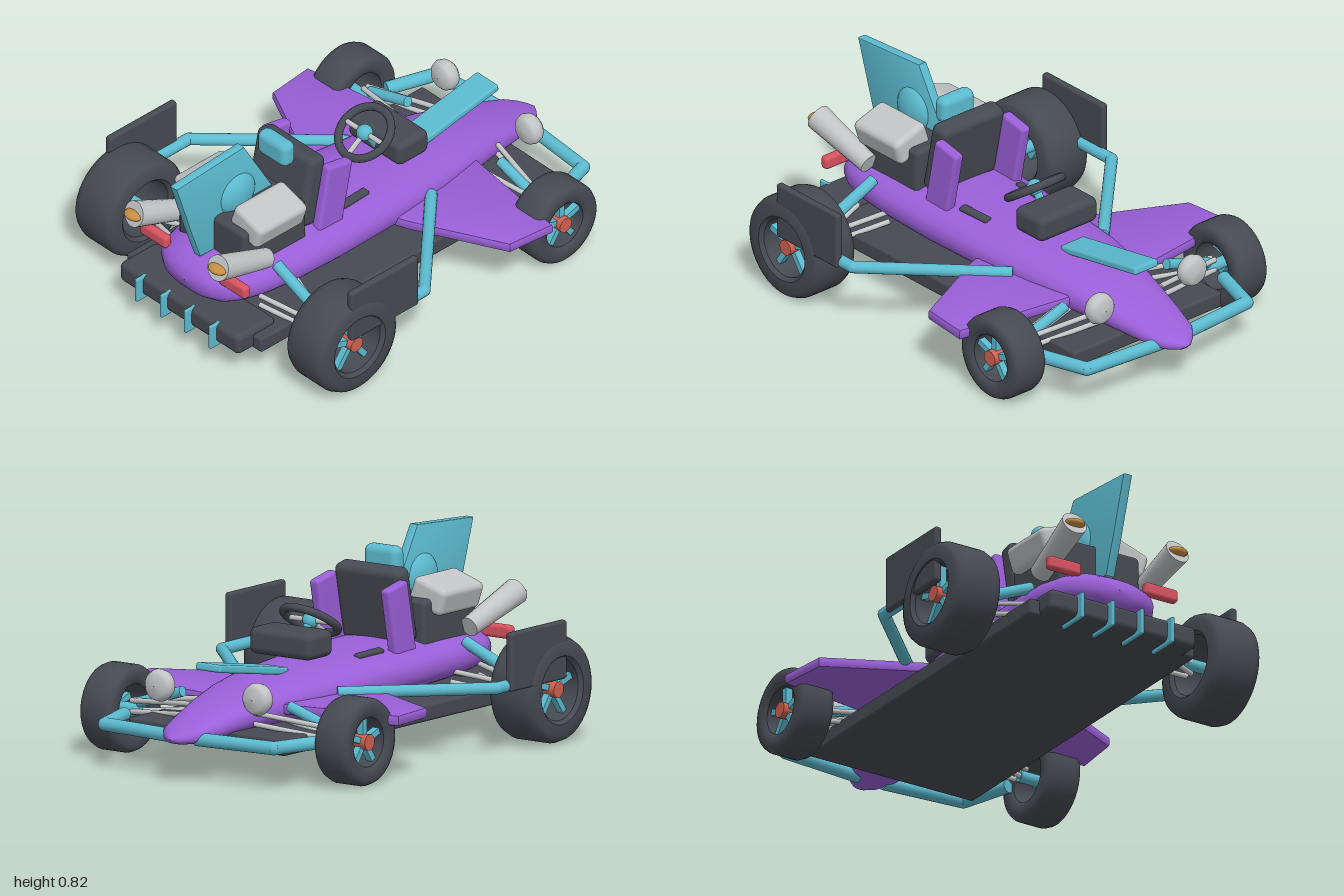
import * as THREE from 'three';
import { toCreasedNormals } from 'three/addons/utils/BufferGeometryUtils.js';
import { RoundedBoxGeometry } from 'three/addons/geometries/RoundedBoxGeometry.js';

const mat = (name, color) => Object.assign(new THREE.MeshStandardMaterial({ color }), { name });
const V = (x, y, z) => new THREE.Vector3(x, y, z);

export function createModel() {
  const purple = mat('purple paint', 0x9a5fd8), cyan = mat('cyan paint', 0x5cbbd0);
  const dark = mat('dark rubber', 0x464a52), silver = mat('silver', 0xc2c4c6);
  const red = mat('lamp red', 0xd95360), hubRed = mat('hub red', 0xd0604f), orange = mat('exhaust orange', 0xc88f42);
  const car = new THREE.Group();
  car.name = 'racingCar';

  const add = (name, geo, material, pos = [0, 0, 0], rot = [0, 0, 0], parent = car) => {
    const m = new THREE.Mesh(geo, material);
    m.name = name;
    m.position.set(...pos);
    m.rotation.set(...rot);
    parent.add(m);
    return m;
  };
  const box = (w, h, d, r = 0.02) => new RoundedBoxGeometry(w, h, d, 3, Math.min(r, w / 2.01, h / 2.01, d / 2.01));
  // Round bar from a to b
  const bar = (name, a, b, ra, material, rb = ra, parent = car) => {
    const dir = b.clone().sub(a);
    const m = add(name, new THREE.CylinderGeometry(rb, ra, dir.length(), 16), material, [0, 0, 0], [0, 0, 0], parent);
    m.position.copy(a).add(b).multiplyScalar(0.5);
    m.quaternion.setFromUnitVectors(V(0, 1, 0), dir.normalize());
    return m;
  };
  // Bent pipe with rounded joints
  const pipe = (name, pts, r, material) => {
    const g = new THREE.Group();
    g.name = name;
    pts.forEach((p, i) => {
      if (i) bar(name + 'Segment', pts[i - 1], p, r, material, r, g);
      if (i && i < pts.length - 1) add(name + 'Joint', new THREE.SphereGeometry(r, 16, 10), material, p.toArray(), [0, 0, 0], g);
    });
    car.add(g);
  };
  // Flat outline extruded, with a small bevel, centred on its thickness
  const slab = (pts, t, bevel = 0.006) => {
    const g = new THREE.ExtrudeGeometry(new THREE.Shape(pts.map(p => new THREE.Vector2(...p))), {
      depth: t - 2 * bevel, bevelThickness: bevel, bevelSize: bevel, bevelOffset: -bevel, bevelSegments: 2 });
    return g.translate(0, 0, bevel - t / 2);
  };

  // Body: rounded cross-sections [z, half width, top, bottom]
  const stations = [
    [-1, 0.001, 0.191, 0.189], [-0.98, 0.035, 0.206, 0.172], [-0.95, 0.07, 0.222, 0.165], [-0.91, 0.1, 0.238, 0.163],
    [-0.8, 0.13, 0.275, 0.165], [-0.65, 0.162, 0.32, 0.17], [-0.5, 0.198, 0.35, 0.175], [-0.3, 0.233, 0.375, 0.18],
    [0, 0.261, 0.392, 0.185], [0.3, 0.275, 0.404, 0.19], [0.55, 0.274, 0.408, 0.2], [0.7, 0.262, 0.408, 0.21],
    [0.8, 0.235, 0.4, 0.22], [0.86, 0.2, 0.388, 0.232], [0.9, 0.14, 0.365, 0.255], [0.915, 0.08, 0.34, 0.28], [0.92, 0.001, 0.311, 0.309]];
  const N = 40, verts = [], idx = [];
  stations.forEach(([z, w, t, b], i) => {
    for (let j = 0; j < N; j++) {
      const a = j / N * Math.PI * 2, c = Math.cos(a), s = Math.sin(a);
      const f = v => Math.sign(v) * Math.abs(v) ** 0.85;
      verts.push(w * f(c), (t + b) / 2 + (t - b) / 2 * f(s), z);
      if (i < stations.length - 1) {
        const p = i * N + j, q = i * N + (j + 1) % N;
        idx.push(p, q, p + N, q, q + N, p + N);
      }
    }
  });
  const bodyGeo = new THREE.BufferGeometry();
  bodyGeo.setAttribute('position', new THREE.Float32BufferAttribute(verts, 3));
  bodyGeo.setIndex(idx);
  bodyGeo.computeVertexNormals();
  add('body', bodyGeo, purple);

  // Floor, rear bumper and diffuser fins
  add('floor', box(0.79, 0.07, 1.625, 0.012), dark, [0, 0.165, 0.055]);
  add('rearBumper', box(0.7, 0.095, 0.21, 0.025), dark, [0, 0.178, 0.847]);
  for (const x of [-0.215, -0.07, 0.07, 0.215]) add('diffuserFin', box(0.016, 0.11, 0.15, 0.005), cyan, [x, 0.17, 0.908]);

  // Tail fin with round pod
  const fin = slab([[0.98, 0.8], [0.61, 0.825], [0.41, 0.48], [0.41, 0.4], [0.85, 0.4], [0.9, 0.545]], 0.042);
  add('tailFin', toCreasedNormals(fin, 0.6), cyan, [0, 0, 0], [0, -Math.PI / 2, 0]);
  add('finPod', new THREE.SphereGeometry(1, 28, 18), cyan, [0, 0.61, 0.645]).scale.set(0.058, 0.1, 0.1);

  // Hood plank
  add('hoodPlank', box(0.126, 0.032, 0.46, 0.01), cyan, [0, 0.408, -0.522], [0.17, 0, 0]);

  // Cockpit
  add('dashboard', box(0.31, 0.11, 0.17, 0.03), dark, [0, 0.47, -0.2]);
  const steering = new THREE.Group();
  steering.name = 'steeringWheel';
  steering.position.set(0, 0.537, -0.07);
  steering.rotation.x = -0.98;
  car.add(steering);
  add('steeringRim', new THREE.TorusGeometry(0.116, 0.017, 12, 36), dark, [0, 0, 0], [0, 0, 0], steering);
  add('steeringHub', new THREE.SphereGeometry(0.034, 20, 14), cyan, [0, 0, 0], [0, 0, 0], steering);
  for (const a of [0, Math.PI, -Math.PI / 2])
    bar('steeringSpoke', V(0, 0, 0), V(Math.cos(a) * 0.115, Math.sin(a) * 0.115, 0), 0.011, silver, 0.011, steering);
  bar('steeringColumn', V(0, 0.537, -0.075), V(0, 0.45, -0.13), 0.018, cyan);
  add('seatBack', box(0.33, 0.32, 0.09, 0.03), dark, [0, 0.545, 0.36], [-0.2, 0, 0]);
  add('headrest', box(0.17, 0.112, 0.07, 0.03), cyan, [0, 0.715, 0.415]);
  add('engineBlock', box(0.385, 0.21, 0.35, 0.02), dark, [0, 0.455, 0.6]);

  // Wheel: tyre ring, five spokes and hub, axle along x
  const wheel = (name, x, z, R, inner, w) => {
    const s = Math.sign(x), g = new THREE.Group(), h = w / 2;
    g.name = name;
    g.position.set(x, R + 0.009, z);
    car.add(g);
    const profile = [[inner, -h * 0.85], [inner + 0.015, -h], [R * 0.86, -h], [R * 0.95, -h * 0.9], [R, -h * 0.65],
      [R, h * 0.65], [R * 0.95, h * 0.9], [R * 0.86, h], [inner + 0.015, h], [inner, h * 0.85], [inner, -h * 0.85]];
    const tyre = new THREE.LatheGeometry(profile.map(p => new THREE.Vector2(...p)), 40);
    add('tyre', toCreasedNormals(tyre, 0.7), dark, [0, 0, 0], [0, 0, Math.PI / 2], g);
    for (let i = 0; i < 5; i++) {
      const a = i / 5 * Math.PI * 2 + Math.PI / 2;
      const spoke = new THREE.BoxGeometry(0.03, inner, 0.026).translate(0, inner / 2, 0);
      add('spoke', spoke, cyan, [s * h * 0.45, 0, 0], [a - Math.PI / 2, 0, 0], g);
    }
    add('hub', new THREE.CylinderGeometry(0.033, 0.033, 0.06, 20), hubRed, [s * h * 0.55, 0, 0], [0, 0, Math.PI / 2], g);
    bar('axle', V(0, 0, 0), V(-s * (h + 0.03), 0, 0), 0.025, cyan, 0.025, g);
  };

  const lampProfile = [[0.001, -0.04], [0.045, -0.036], [0.06, -0.022], [0.067, 0], [0.06, 0.022], [0.045, 0.036], [0.001, 0.04]];
  for (const s of [-1, 1]) {
    wheel('rearWheel', s * 0.62, 0.637, 0.218, 0.125, 0.215);
    wheel('frontWheel', s * 0.59, -0.551, 0.179, 0.1, 0.16);

    // Suspension struts and wishbones
    bar('rearStrut', V(s * 0.51, 0.255, 0.635), V(s * 0.24, 0.37, 0.635), 0.024, cyan);
    bar('frontStrut', V(s * 0.49, 0.22, -0.56), V(s * 0.27, 0.29, -0.56), 0.022, cyan);
    for (const [za, zb] of [[0.62, 0.54], [0.65, 0.73], [-0.57, -0.65], [-0.55, -0.48]])
      for (const y of [0.18, 0.225])
        bar('wishbone', V(s * 0.52, y, za), V(s * (za > 0 ? 0.24 : 0.16), y + 0.04, zb), 0.011, silver);

    // Side wing
    const wing = slab([[0.15, -0.51], [0.717, -0.43], [0.695, -0.215], [0.3, -0.02], [0.15, 0.03]].map(([x, z]) => [x * s, -z]), 0.046, 0.012);
    add('sideWing', toCreasedNormals(wing, 0.6), purple, [0, 0.262, 0], [-Math.PI / 2, 0, 0]);

    // Guard plate, side pipe and front bumper pipe
    add('guardPlate', box(0.032, 0.24, 0.37, 0.012), dark, [s * 0.707, 0.388, 0.493]);
    pipe('sidePipe', [V(s * 0.24, 0.29, -0.21), V(s * 0.69, 0.29, 0.25), V(s * 0.69, 0.29, 0.44)], 0.025, cyan);
    pipe('frontBumper', [V(s * 0.06, 0.185, -0.9), V(s * 0.425, 0.185, -0.87), V(s * 0.495, 0.185, -0.65)], 0.028, cyan);

    // Headlamp
    const lamp = new THREE.LatheGeometry(lampProfile.map(p => new THREE.Vector2(...p)), 28);
    add('headlamp', lamp, silver, [s * 0.246, 0.345, -0.742], [Math.PI / 2, 0, 0]);

    // Seat bolster and body vent
    add('seatBolster', box(0.048, 0.3, 0.135, 0.015), purple, [s * 0.178, 0.505, 0.275], [-0.2, 0, 0]);
    add('bodyVent', box(0.036, 0.02, 0.15, 0.008), dark, [s * 0.146, 0.388, 0.125], [-0.04, s * 0.08, -s * 0.2]);

    // Engine tank, exhaust and rear lamp
    add('engineTank', box(0.17, 0.115, 0.27, 0.025), silver, [s * 0.165, 0.567, 0.61], [0, 0, -s * 0.32]);
    bar('exhaust', V(s * 0.225, 0.42, 0.68), V(s * 0.246, 0.527, 0.965), 0.042, silver, 0.055);
    add('exhaustFlame', new THREE.SphereGeometry(1, 20, 12), orange, [s * 0.246, 0.525, 0.967]).scale.set(0.044, 0.018, 0.033);
    add('rearLamp', box(0.156, 0.056, 0.04, 0.015), red, [s * 0.231, 0.38, 0.86]);
  }
  return car;
}
